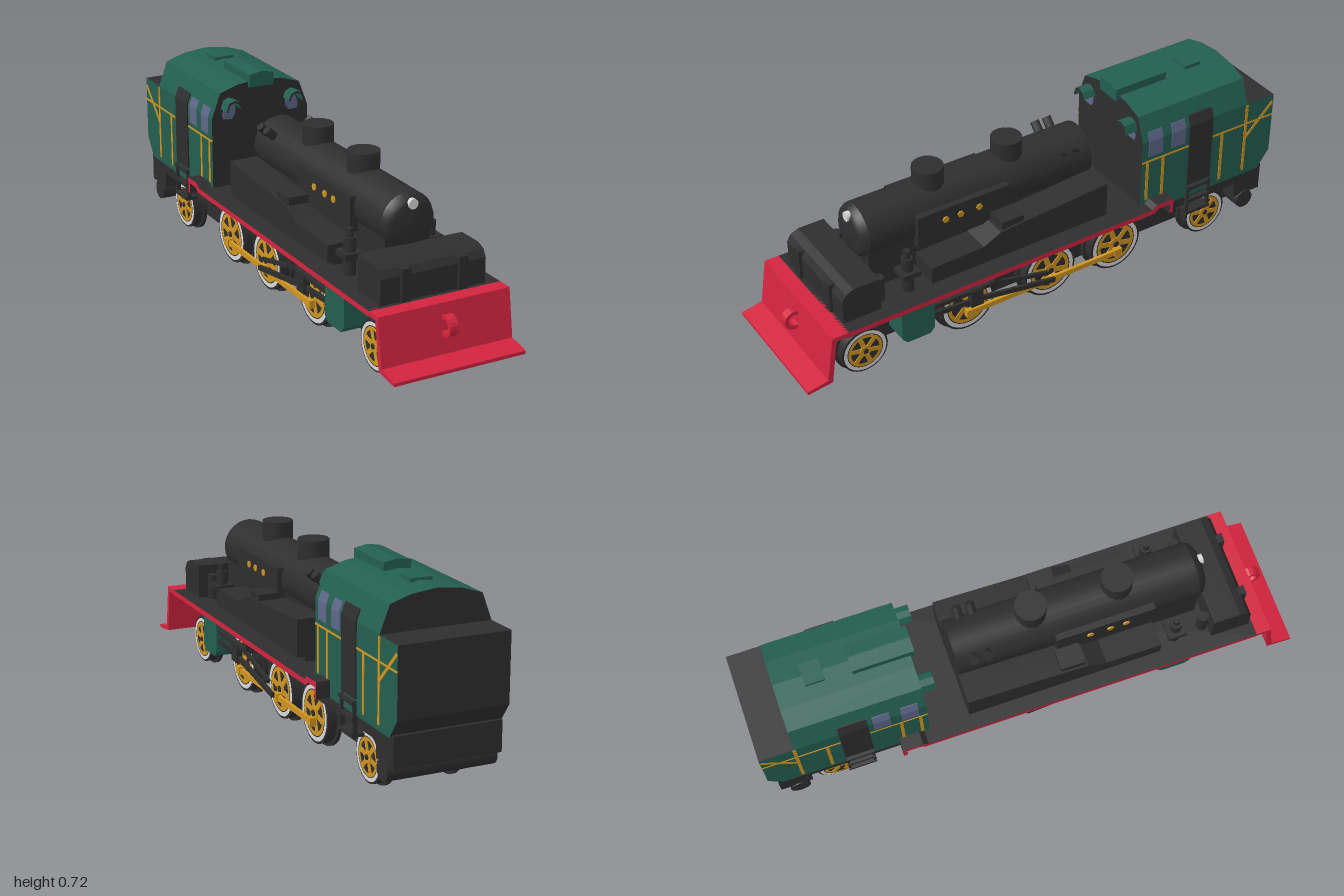
import * as THREE from 'three';

const mat = (name, color) => {
  const m = new THREE.MeshStandardMaterial({ color });
  m.name = name;
  return m;
};

export function createModel() {
  const black = mat('black', 0x2e2e2e), green = mat('green', 0x235f50), red = mat('red', 0xd3243f);
  const gold = mat('gold', 0xd0951f), white = mat('white', 0xd8d8d8), glass = mat('glass', 0x5d6788);
  const root = new THREE.Group();
  const SIDES = [1, -1];

  const add = (name, geo, material, parent = root) => {
    const m = new THREE.Mesh(geo, material);
    m.name = name;
    parent.add(m);
    return m;
  };
  // box from its limits
  const box = (name, x0, x1, y0, y1, z0, z1, material) => {
    const m = add(name, new THREE.BoxGeometry(Math.abs(x1 - x0), y1 - y0, Math.abs(z1 - z0)), material);
    m.position.set((x0 + x1) / 2, (y0 + y1) / 2, (z0 + z1) / 2);
    return m;
  };
  const toShape = pts => new THREE.Shape(pts.map(p => new THREE.Vector2(p[0], p[1])));
  // (z, y) profile extruded across x, centred on cx
  const across = (name, pts, width, cx, material) => {
    const g = new THREE.ExtrudeGeometry(toShape(pts), { depth: width, bevelEnabled: false });
    g.translate(0, 0, -width / 2).rotateY(-Math.PI / 2).translate(cx, 0, 0);
    return add(name, g, material);
  };
  // (x, y) profile extruded along z
  const along = (name, pts, z0, z1, material) => {
    const g = new THREE.ExtrudeGeometry(toShape(pts), { depth: z1 - z0, bevelEnabled: false });
    return add(name, g.translate(0, 0, z0), material);
  };
  const cyl = (name, r, len, axis, x, y, z, material, seg = 20, parent = root) => {
    const g = new THREE.CylinderGeometry(r, r, len, seg);
    if (axis === 'x') g.rotateZ(-Math.PI / 2);
    if (axis === 'z') g.rotateX(Math.PI / 2);
    return add(name, g.translate(x, y, z), material, parent);
  };
  // bar between two (z, y) points at a given x
  const bar = (name, a, b, h, w, x, material) => {
    const dz = b[0] - a[0], dy = b[1] - a[1];
    const m = add(name, new THREE.BoxGeometry(w, h, Math.hypot(dz, dy)), material);
    m.position.set(x, (a[1] + b[1]) / 2, (a[0] + b[0]) / 2);
    m.rotation.x = -Math.atan2(dy, dz);
  };

  // Chassis and footplate with red edges
  box('chassisFrame', -0.115, 0.115, 0.08, 0.275, -0.9, 0.82, black);
  box('cabFloor', -0.195, 0.195, 0.2, 0.245, -0.95, -0.42, black);
  box('rearBeam', -0.195, 0.195, 0.14, 0.25, -0.97, -0.85, black);
  cyl('rearReservoir', 0.037, 0.4, 'x', 0, 0.115, -0.9, black);
  across('footplate', [[0.84, 0.265], [0.84, 0.285], [-0.42, 0.285], [-0.44, 0.3], [-0.515, 0.3],
    [-0.515, 0.24], [-0.5, 0.24], [-0.5, 0.28], [-0.45, 0.28], [-0.43, 0.265]], 0.5, 0, [black, red].reverse());

  // Plough and hook
  across('plough', [[0.83, 0.285], [0.895, 0.285], [0.922, 0.115], [1, 0.1], [1, 0.088], [0.905, 0.1],
    [0.88, 0.268], [0.83, 0.268]], 0.5, 0, red);
  const hook = new THREE.Shape();
  hook.absarc(0, 0, 0.037, -2.3, 2.1, false);
  hook.absarc(0, 0, 0.023, 2.1, -2.3, true);
  const hookGeo = new THREE.ExtrudeGeometry(hook, { depth: 0.032, bevelEnabled: false, curveSegments: 6 });
  add('hook', hookGeo.translate(0, 0, -0.016).rotateY(-Math.PI / 2).translate(0, 0.213, 0.92), red);

  // Front block and boiler
  across('frontBlock', [[0.68, 0.28], [0.825, 0.28], [0.825, 0.375], [0.81, 0.4], [0.78, 0.413], [0.68, 0.413]], 0.4, 0, black);
  for (const s of SIDES) box('frontPost', s * 0.092, s * 0.125, 0.28, 0.4, 0.81, 0.835, black);
  box('boilerSaddle', -0.085, 0.085, 0.27, 0.45, -0.25, 0.66, black);
  const boilerProfile = [[0, -0.25], [0.1, -0.25], [0.1, -0.25], [0.1, 0.655], [0.1, 0.655], [0.09, 0.675], [0.07, 0.687], [0, 0.692]];
  const boiler = new THREE.LatheGeometry(boilerProfile.map(p => new THREE.Vector2(p[0], p[1])), 28);
  add('boiler', boiler.rotateX(Math.PI / 2).translate(0, 0.485, 0), black);
  cyl('headlamp', 0.018, 0.02, 'z', 0, 0.553, 0.685, white, 12);
  for (const z of [0.37, 0.05]) cyl('dome', 0.057, 0.1, 'y', 0, 0.592, z, black, 16);

  // Side tanks and fittings
  for (const s of SIDES) {
    across('sideTank', [[0.48, 0.305], [0.48, 0.37], [0.27, 0.375], [0.2, 0.41], [-0.25, 0.44], [-0.25, 0.305]], 0.11, s * 0.145, black);
    box('tankFoot', s * 0.09, s * 0.17, 0.28, 0.31, -0.25, 0.46, black);
    box('upperTank', s * 0.06, s * 0.115, 0.4, 0.527, 0.11, 0.48, black);
    box('pump', s * 0.11, s * 0.192, 0.36, 0.44, 0.1, 0.19, black);
    for (const z of [0.37, 0.31, 0.235]) cyl('tankStud', 0.013, 0.006, 'x', s * 0.117, 0.483, z, gold, 6);
    cyl('pumpPost', 0.022, 0.14, 'y', s * 0.155, 0.35, 0.55, black, 10);
    box('pumpPostCollar', s * 0.12, s * 0.19, 0.35, 0.37, 0.515, 0.585, black);
    cyl('pumpPostCap', 0.013, 0.16, 'y', s * 0.155, 0.37, 0.55, black, 8);
    cyl('smallPost', 0.02, 0.1, 'y', s * 0.15, 0.33, 0.66, black, 10);
    for (const z of [-0.14, -0.19]) {
      const valve = cyl('valve', 0.017, 0.06, 'y', 0, 0, 0, black, 10);
      valve.position.set(s * 0.085, 0.555, z);
      valve.rotation.z = -s * 0.8;
    }
  }

  // Cab: black ends, green walls and roof
  const half = [[0.2, 0.24], [0.2, 0.555], [0.165, 0.65], [0.09, 0.674]];
  const section = [...half, [0, 0.684], ...half.map(p => [-p[0], p[1]]).reverse()];
  along('cab', section, -0.875, -0.4, [black, green]);
  along('roofHatch', [[-0.05, 0.66], [0.05, 0.66], [0.05, 0.708], [0, 0.717], [-0.05, 0.708]], -0.605, -0.385, green);
  box('roofVent', -0.04, 0.04, 0.67, 0.693, -0.77, -0.7, green);
  across('bunker', [[-0.87, 0.24], [-0.95, 0.24], [-1, 0.31], [-1, 0.555], [-0.87, 0.555]], 0.4, 0, [green, black]);

  // Thin plates that follow the slope of the cab wall
  const wallX = y => (y <= 0.555 ? 0.2 : 0.2 - (y - 0.555) * 0.368);
  const wallPlate = (name, s, y0, y1, z0, z1, t, material) => {
    const ys = y0 < 0.555 && y1 > 0.555 ? [y0, 0.555, y1] : [y0, y1];
    const outer = ys.map(y => [s * (wallX(y) + t), y]);
    const inner = ys.map(y => [s * (wallX(y) - 0.003), y]).reverse();
    along(name, [...outer, ...inner], z0, z1, material);
  };
  for (const s of SIDES) {
    wallPlate('door', s, 0.295, 0.595, -0.715, -0.61, 0.005, black);
    for (const z of [-0.49, -0.592]) wallPlate('sideWindow', s, 0.49, 0.588, z, z + 0.062, 0.003, glass);
    wallPlate('stripe', s, 0.465, 0.472, -0.61, -0.4, 0.002, gold);
    wallPlate('stripe', s, 0.465, 0.472, -1, -0.715, 0.002, gold);
    for (const [z, y0, y1] of [[-0.425, 0.3, 0.47], [-0.495, 0.3, 0.47], [-0.765, 0.26, 0.47], [-0.875, 0.26, 0.55]])
      wallPlate('stripe', s, y0, y1, z - 0.006, z + 0.006, 0.002, gold);
    bar('diagonalStripe', [-0.875, 0.405], [-0.995, 0.525], 0.012, 0.004, s * 0.2, gold);

    // Front windows with hoods
    const pane = [[0.108, 0.56], [0.12, 0.546], [0.153, 0.548], [0.158, 0.565], [0.145, 0.61], [0.13, 0.617], [0.112, 0.61], [0.104, 0.59]];
    along('frontWindow', pane.map(p => [s * p[0], p[1]]), -0.402, -0.396, glass);
    const hood = [[0.096, 0.598], [0.108, 0.622], [0.13, 0.63], [0.152, 0.622], [0.163, 0.59],
      [0.157, 0.588], [0.147, 0.615], [0.13, 0.622], [0.112, 0.615], [0.103, 0.594]];
    along('windowHood', hood.map(p => [s * p[0], p[1]]), -0.4, -0.35, [black, green]);

    // Cab steps
    for (const y of [0.165, 0.22, 0.275]) box('stepTread', s * 0.17, s * 0.215, y, y + 0.012, -0.715, -0.61, black);
    for (const z of [-0.715, -0.62]) box('stepRail', s * 0.195, s * 0.21, 0.165, 0.29, z, z + 0.01, black);
  }

  // Wheels: axis along x, outer face towards +x
  const makeWheel = (R, z, s) => {
    const w = new THREE.Group();
    w.name = 'wheel';
    cyl('flange', R, 0.014, 'x', 0.124, 0, 0, black, 28, w);
    cyl('tyre', R * 0.9, 0.036, 'x', 0.147, 0, 0, black, 28, w);
    const ring = (name, r0, r1, x, material) =>
      add(name, new THREE.RingGeometry(r0, r1, 28).rotateY(Math.PI / 2).translate(x, 0, 0), material, w);
    ring('whiteRim', R * 0.7, R * 0.83, 0.167, white);
    ring('goldRim', R * 0.55, R * 0.67, 0.167, gold);
    cyl('hub', R * 0.23, 0.01, 'x', 0.165, 0, 0, gold, 12, w);
    cyl('axleCap', R * 0.1, 0.012, 'x', 0.168, 0, 0, black, 8, w);
    for (let i = 0; i < 6; i++) {
      const spoke = new THREE.BoxGeometry(0.006, R * 0.5, R * 0.17).translate(0.165, R * 0.35, 0);
      add('spoke', spoke.rotateX(i * Math.PI / 3 + 0.3), gold, w);
    }
    w.position.set(0, R, z);
    if (s < 0) w.rotation.y = Math.PI;
    root.add(w);
  };
  for (const s of SIDES) {
    for (const z of [0.735, -0.735]) makeWheel(0.1, z, s);
    for (const z of [0.32, -0.03, -0.32]) makeWheel(0.121, z, s);

    // Steam cylinder and motion rods
    across('steamCylinder', [[0.48, 0.12], [0.5, 0.1], [0.59, 0.1], [0.61, 0.12], [0.61, 0.27], [0.48, 0.27]], 0.1, s * 0.16, green);
    bar('couplingRod', [0.33, 0.093], [-0.33, 0.093], 0.02, 0.012, s * 0.18, gold);
    for (const z of [0.32, -0.03, -0.32]) {
      box('rodEnd', s * 0.168, s * 0.19, 0.078, 0.108, z - 0.016, z + 0.016, gold);
    }
    bar('pistonRod', [0.48, 0.165], [0.3, 0.155], 0.018, 0.012, s * 0.197, black);
    bar('slideBar', [0.48, 0.2], [0.24, 0.2], 0.016, 0.02, s * 0.195, black);
    bar('connectingRod', [0.3, 0.155], [-0.03, 0.1], 0.018, 0.012, s * 0.197, black);
    bar('valveRod', [0.25, 0.205], [0.0, 0.145], 0.014, 0.012, s * 0.2, black);
    box('motionBracket', s * 0.12, s * 0.205, 0.19, 0.27, 0.2, 0.23, black);
    box('crosshead', s * 0.185, s * 0.21, 0.135, 0.205, 0.28, 0.33, black);
  }
  return root;
}
